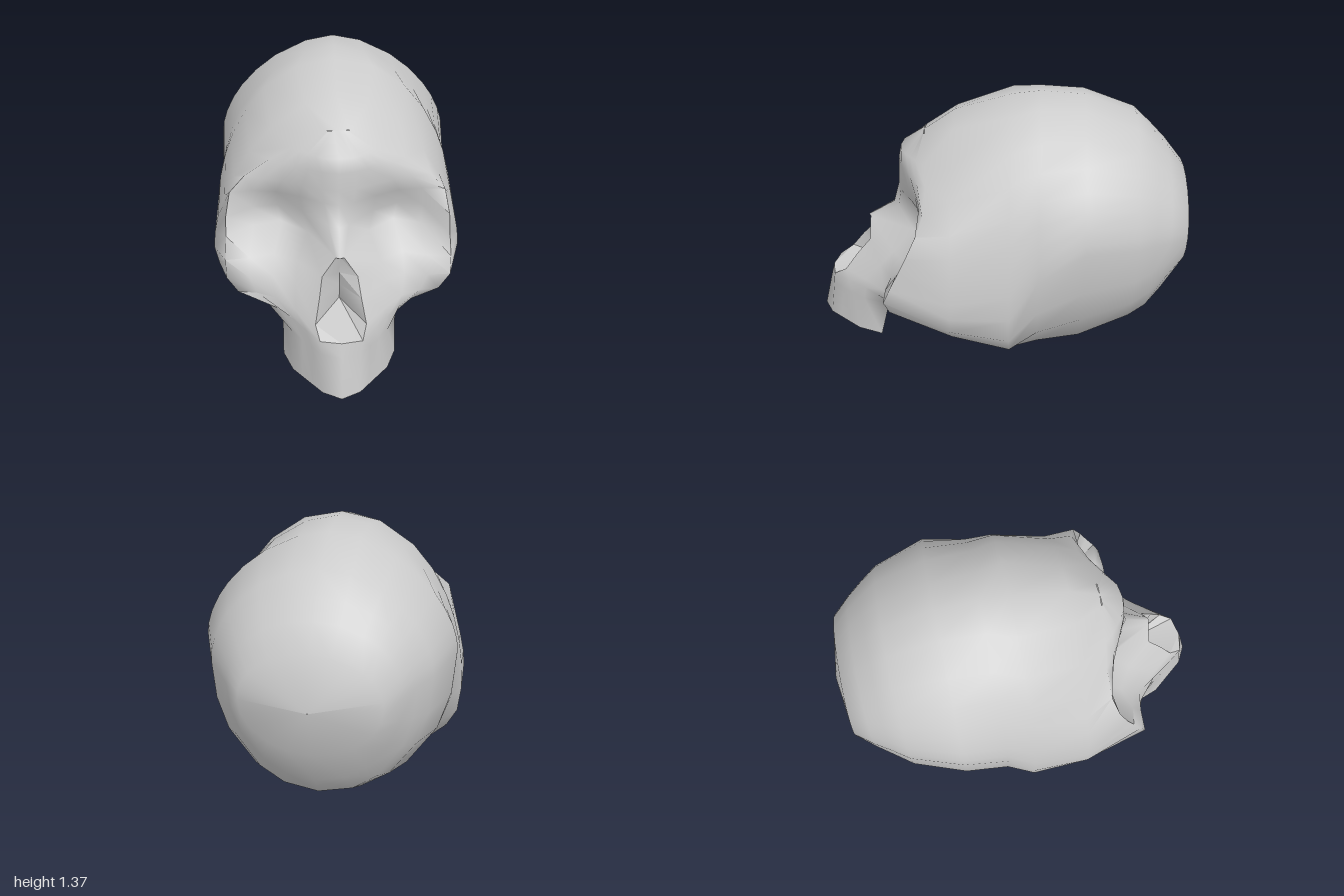
import * as THREE from 'three';
import { mergeGeometries, toCreasedNormals } from 'three/addons/utils/BufferGeometryUtils.js';

const material = new THREE.MeshStandardMaterial({ color: 0xcccccc, side: THREE.DoubleSide });
const radians = THREE.MathUtils.degToRad;

// Skin rows of points; skip(i, j) leaves a quad open.
function skin(rows, skip = () => false) {
  const cols = rows[0].length;
  const index = [];
  for (let i = 0; i < rows.length - 1; i++) {
    for (let j = 0; j < cols - 1; j++) {
      if (skip(i, j)) continue;
      const a = i * cols + j, b = a + cols;
      index.push(a, b, b + 1, a, b + 1, a + 1);
    }
  }
  const geometry = new THREE.BufferGeometry();
  geometry.setAttribute('position', new THREE.Float32BufferAttribute(rows.flat(2), 3));
  geometry.setIndex(index);
  return geometry;
}

// One mesh from one or more skins, smooth up to the crease angle
function part(name, geometries, crease) {
  const merged = mergeGeometries(geometries);
  const mesh = new THREE.Mesh(toCreasedNormals(merged, radians(crease)), material);
  mesh.name = name;
  return mesh;
}

const mirrorX = ([x, y, z]) => [-x, y, z];
// Half a row, given from the middle outwards, becomes a full row from -x to +x.
const fullRow = (half) => [...half.slice(1).reverse().map(mirrorX), ...half];
// Half a ring, given from top to bottom, becomes a closed ring.
const fullRing = (half) => [...half, ...half.slice(0, -1).reverse().map(mirrorX)];

// Face rows: height, half width, nose half width, then depths from middle to edge
const FACE = [
  [1.15, 0.06, 0.02, [0.39, 0.39, 0.39, 0.39, 0.39, 0.385]],
  [1.06, 0.22, 0.07, [0.515, 0.505, 0.48, 0.45, 0.42, 0.375]],
  [0.99, 0.33, 0.08, [0.53, 0.51, 0.48, 0.45, 0.41, 0.36]],
  [0.90, 0.46, 0.08, [0.535, 0.515, 0.465, 0.42, 0.39, 0.365]],
  [0.83, 0.53, 0.07, [0.54, 0.52, 0.45, 0.395, 0.38, 0.395]],
  [0.72, 0.55, 0.05, [0.57, 0.54, 0.40, 0.325, 0.345, 0.445]],
  [0.635, 0.55, 0.02, [0.71, 0.70, 0.45, 0.335, 0.38, 0.485]],
  [0.53, 0.555, 0.085, [0.74, 0.70, 0.56, 0.48, 0.52, 0.535]],
  [0.45, 0.55, 0.10, [0.80, 0.77, 0.63, 0.56, 0.575, 0.57]],
  [0.355, 0.50, 0.12, [0.86, 0.84, 0.72, 0.61, 0.565, 0.55]],
  [0.31, 0.36, 0.10, [0.93, 0.91, 0.82, 0.72, 0.64, 0.575]],
  [0.24, 0.28, 0.09, [0.95, 0.92, 0.86, 0.80, 0.73, 0.59]],
  [0.04, 0.28, 0.09, [1.0, 0.95, 0.89, 0.83, 0.77, 0.64]],
];
const NOSE_TOP = 6, NOSE_BOTTOM = 10;

const faceHalves = FACE.map(([y, width, nose, depths]) =>
  depths.map((z, j) => [j === 0 ? 0 : nose + (width - nose) * (j - 1) / 4, y, z]));

// Angles from crown to base, one for each row that ends on the face border
const ANGLES = [0, 17, 34, 46, 57, 65, 74, 82, 90, 105, 121, 143, 160, 180];

// Half cross-section: different roundness above and below its widest height
function section(z, top, bottom, width, middle, upper, lower) {
  return ANGLES.map((angle) => {
    const c = Math.cos(radians(angle)), s = Math.sin(radians(angle));
    const power = 2 / (angle < 90 ? upper : lower);
    const reach = (angle < 90 ? top : bottom) - middle;
    return [angle % 180 ? width * s ** power : 0, middle + reach * Math.abs(c) ** power, z];
  });
}

function createSkullShell() {
  // z, top, bottom, half width, widest height, roundness above, below
  const rings = [
    [-1.0, 0.702, 0.698, 0.002, 0.70, 2, 2],
    [-0.945, 0.96, 0.46, 0.33, 0.72, 2, 2],
    [-0.85, 1.08, 0.27, 0.405, 0.74, 2, 2],
    [-0.77, 1.165, 0.16, 0.46, 0.76, 1.95, 2.1],
    [-0.68, 1.255, 0.12, 0.525, 0.77, 1.85, 2.2],
    [-0.42, 1.355, 0.005, 0.62, 0.80, 1.7, 2.2],
    [-0.2, 1.37, 0.005, 0.61, 0.64, 1.8, 2.4],
    [-0.06, 1.352, 0.03, 0.64, 0.42, 2.05, 2.6],
    [0.23, 1.265, 0.12, 0.64, 0.42, 1.7, 2.25],
  ].map((r) => section(...r));

  // The front ring follows the border of the face, then closes under the base
  const border = faceHalves.slice(0, 12).map((row) => row[5]);
  const front = [faceHalves[0][0], ...border, [0, 0.24, 0.575]];
  const cranium = skin([...rings, front].map(fullRing));

  // Brow, eye sockets, cheeks and jaw wall; the middle columns stay open at the nose
  const face = skin(faceHalves.map(fullRow),
    (i, j) => i >= NOSE_TOP && i < NOSE_BOTTOM && (j === 4 || j === 5));
  return part('craniumAndFace', [cranium, face], 85);
}

function createJawInside() {
  const inset = ([x, y, z], j) => [x * 0.84, y, z - (j === 5 ? 0 : 0.06)];
  const [wallTop, rim] = faceHalves.slice(11);
  const innerTop = wallTop.map(inset);
  const innerRim = rim.map(inset);
  const vault = innerTop.map(([x, , z]) => [x * 0.9, 0.3, z]);
  const palate = vault.map(([, y, z]) => [0, y, z]);
  const group = new THREE.Group();
  group.name = 'upperJawInside';

  // Tooth rim, inner wall and palate, from the outer rim inwards
  const rows = [rim, innerRim, innerTop, vault, palate];
  group.add(part('innerWall', [skin(rows.map(fullRow))], 50));

  // Back edges of the wall
  const outer = [wallTop[5], rim[5]], inner = [innerTop[5], innerRim[5]];
  const edges = [[inner, outer], [outer.map(mirrorX), inner.map(mirrorX)]];
  group.add(part('jawBackEdges', edges.map((edge) => skin(edge)), 30));
  return group;
}

function createNasalCavity() {
  const group = new THREE.Group();
  group.name = 'nasalCavity';
  // Walls run back from the opening to a groove on the middle line
  const opening = faceHalves.slice(NOSE_TOP, NOSE_BOTTOM).map((row) => row[1]);
  const walls = opening.map((p, i) => fullRow([[0, p[1], 0.69 - 0.025 * i], p]));
  group.add(part('nasalWalls', [skin(walls)], 50));

  // Floor between the groove and the lower lip of the opening
  const [lipMiddle, lipSide] = faceHalves[NOSE_BOTTOM];
  const back = walls[walls.length - 1];
  group.add(part('nasalFloor', [skin([back, fullRow([lipMiddle, lipSide])])], 20));
  return group;
}

export function createModel() {
  const model = new THREE.Group();
  model.name = 'skull';
  model.add(createSkullShell(), createJawInside(), createNasalCavity());
  return model;
}
